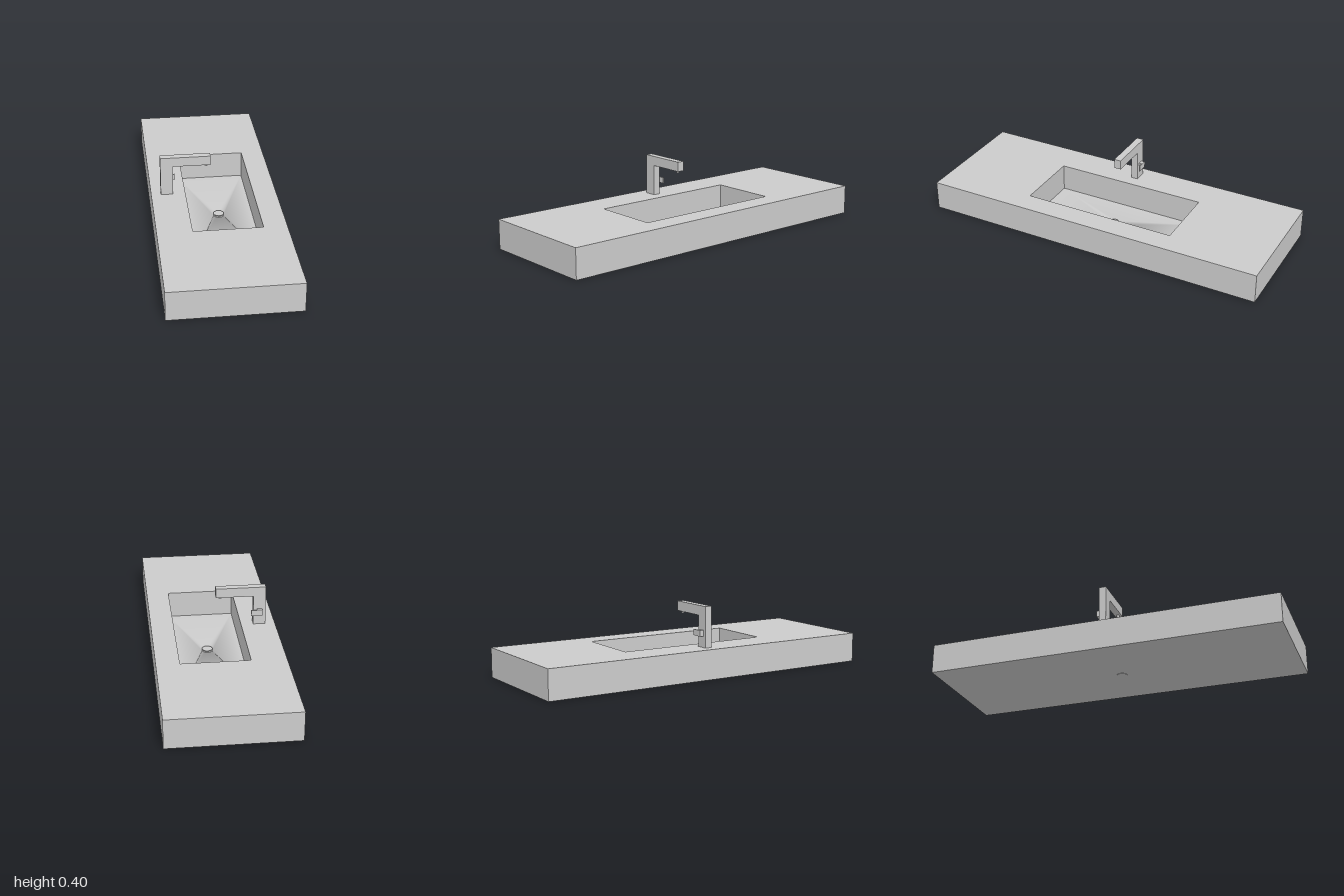
import * as THREE from 'three';

const material = new THREE.MeshStandardMaterial({ color: 0xcccccc });
const BASE = 0.002, TOP = 0.17;
const BASIN = { x0: -0.16, x1: 0.225, z0: -0.445, z1: 0.44 };
const DRAIN = { x: 0.033, z: 0, r: 0.03 };

function add(parent, name, geometry, x = 0, y = 0, z = 0) {
  const mesh = new THREE.Mesh(geometry, material);
  mesh.name = name;
  mesh.position.set(x, y, z);
  parent.add(mesh);
  return mesh;
}

// Box given by its two extreme corners
function addBox(parent, name, [x0, y0, z0], [x1, y1, z1]) {
  return add(parent, name, new THREE.BoxGeometry(x1 - x0, y1 - y0, z1 - z0),
    (x0 + x1) / 2, (y0 + y1) / 2, (z0 + z1) / 2);
}

function rectangle(Type, x0, x1, y0, y1) {
  return new Type([[x0, y0], [x1, y0], [x1, y1], [x0, y1]].map(p => new THREE.Vector2(...p)));
}

// Basin floor: each corner fans to a quarter of the drain rim, with softly blended normals
function basinFloorGeometry() {
  const rimY = 0.014, drainY = 0.004, steps = 8;
  const corners = [[BASIN.x1, BASIN.z1], [BASIN.x0, BASIN.z1], [BASIN.x0, BASIN.z0], [BASIN.x1, BASIN.z0]];
  const positions = [], normals = [], index = [];
  for (const [x, z] of corners) {
    positions.push(x, rimY, z);
    normals.push(0, 1, 0);
  }
  const count = steps * 4;
  for (let i = 0; i < count; i++) {
    const a = (i / count) * Math.PI * 2, c = Math.cos(a), s = Math.sin(a);
    positions.push(DRAIN.x + c * DRAIN.r, drainY, DRAIN.z + s * DRAIN.r);
    const n = new THREE.Vector3(-c, 0.6, -s).normalize();
    normals.push(n.x, n.y, n.z);
  }
  const rim = i => 4 + (i % count);
  for (let q = 0; q < 4; q++) {
    for (let i = q * steps; i < (q + 1) * steps; i++) index.push(q, rim(i), rim(i + 1));
    index.push(q, rim((q + 1) * steps), (q + 1) % 4);
  }
  const geometry = new THREE.BufferGeometry();
  geometry.setAttribute('position', new THREE.Float32BufferAttribute(positions, 3));
  geometry.setAttribute('normal', new THREE.Float32BufferAttribute(normals, 3));
  geometry.setIndex(index);
  return geometry;
}

function createCounter() {
  const counter = new THREE.Group();
  counter.name = 'counter';

  // Slab with the rectangular basin opening
  const shape = rectangle(THREE.Shape, -0.355, 0.355, -1, 1);
  shape.holes.push(rectangle(THREE.Path, BASIN.x0, BASIN.x1, -BASIN.z1, -BASIN.z0));
  const slab = new THREE.ExtrudeGeometry(shape, { depth: TOP - BASE, bevelEnabled: false });
  add(counter, 'slab', slab.rotateX(-Math.PI / 2), 0, BASE, 0);

  // Underside closing the opening
  const underside = new THREE.PlaneGeometry(BASIN.x1 - BASIN.x0, BASIN.z1 - BASIN.z0).rotateX(Math.PI / 2);
  add(counter, 'basinUnderside', underside, (BASIN.x0 + BASIN.x1) / 2, BASE, (BASIN.z0 + BASIN.z1) / 2);

  add(counter, 'basinFloor', basinFloorGeometry());
  return counter;
}

function createDrain() {
  const drain = new THREE.Group();
  drain.name = 'drain';
  drain.position.set(DRAIN.x, 0, DRAIN.z);
  const disc = (name, r, y0, y1) =>
    add(drain, name, new THREE.CylinderGeometry(r, r, y1 - y0, 32), 0, (y0 + y1) / 2, 0);
  disc('drainOutlet', 0.03, 0, 0.004);
  disc('stopperStem', 0.01, 0.004, 0.011);
  disc('stopper', 0.03, 0.011, 0.015);
  return drain;
}

function createFaucet() {
  const faucet = new THREE.Group();
  faucet.name = 'faucet';

  // Post and spout as one angular body
  const outline = [[-0.3, TOP], [-0.23, TOP], [-0.23, 0.345], [-0.015, 0.345], [-0.015, 0.4], [-0.3, 0.4]];
  const body = new THREE.ExtrudeGeometry(new THREE.Shape(outline.map(p => new THREE.Vector2(...p))),
    { depth: 0.04, bevelEnabled: false });
  add(faucet, 'faucetBody', body, 0, 0, -0.02);

  // Water outlet under the tip
  add(faucet, 'aerator', new THREE.CylinderGeometry(0.008, 0.008, 0.012, 24), -0.04, 0.339, 0);

  // Side handle
  addBox(faucet, 'handleStem', [-0.28, 0.233, -0.037], [-0.25, 0.267, -0.02]);
  addBox(faucet, 'handleLever', [-0.28, 0.233, -0.042], [-0.215, 0.267, -0.036]);
  return faucet;
}

export function createModel() {
  const model = new THREE.Group();
  model.name = 'washbasin';
  model.add(createCounter(), createDrain(), createFaucet());
  return model;
}
